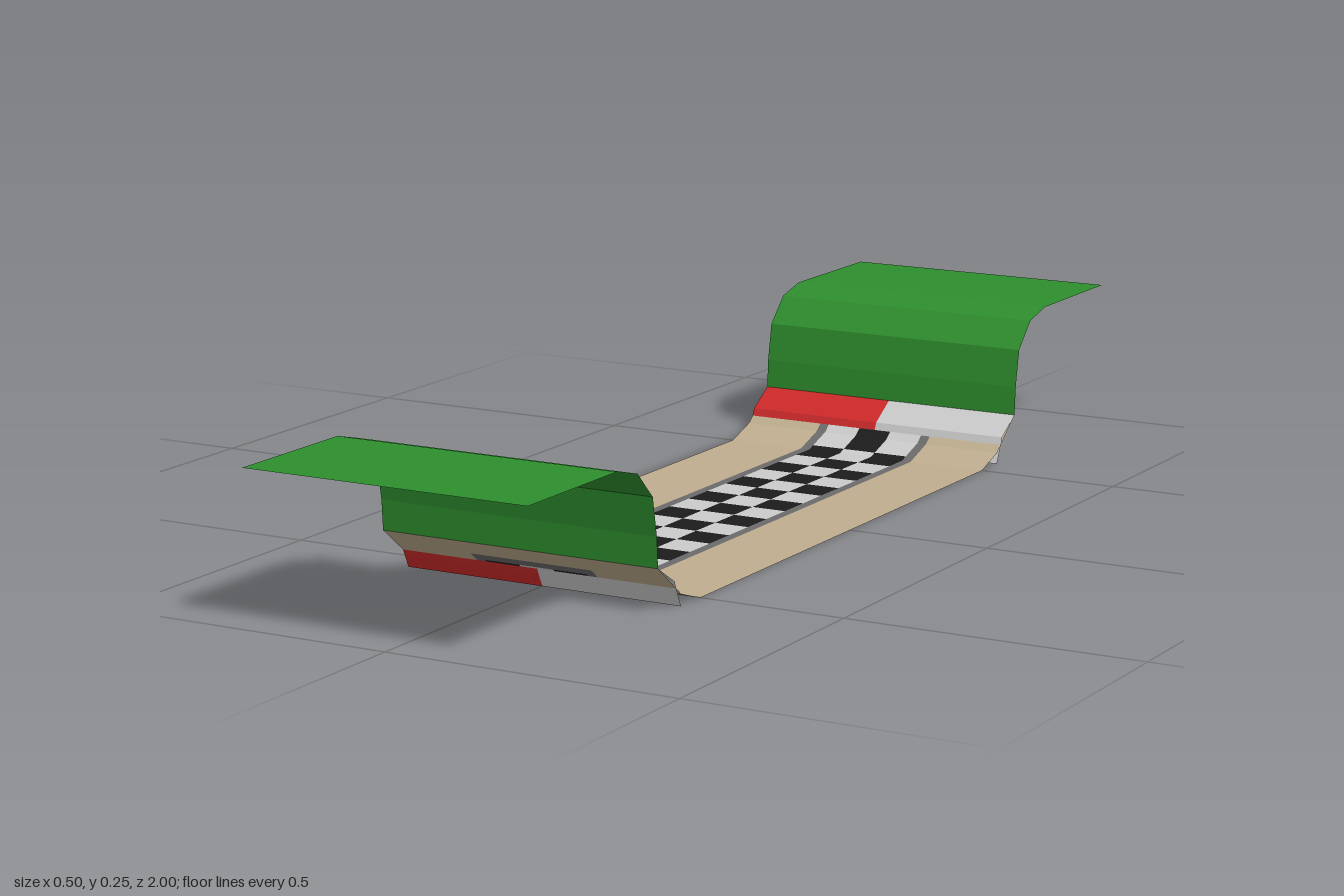
import * as THREE from 'three';
import { mergeGeometries } from 'three/addons/utils/BufferGeometryUtils.js';

const HALF = 0.25;      // half width of the whole piece
const BORDER = 0.11;    // outer edge of the lane border
const LANE = 0.093;     // outer edge of the chequered lane
const LANE_END = 0.579;
const BORDER_END = 0.594;

// Profiles as [z, y], running outwards from the middle of the track
const roadHalf = [[0.5, 0], [0.56, 0.02], [0.63, 0.075]];
const kerbProfile = [[0.56, 0], [0.57, 0.021], [0.58, 0.044], [0.63, 0.075]];
const bankProfile = [[0.63, 0.075], [0.633, 0.125], [0.645, 0.19], [0.69, 0.235], [0.75, 0.25], [1, 0.25]];

const mirrorZ = (profile) => profile.map(([z, y]) => [-z, y]).reverse();
const roadProfile = [...mirrorZ(roadHalf), ...roadHalf];

// Height of the road at z
function roadHeight(z) {
  for (let i = 1; i < roadProfile.length; i++) {
    const [z0, y0] = roadProfile[i - 1], [z1, y1] = roadProfile[i];
    if (z <= z1) return y0 + (y1 - y0) * (z - z0) / (z1 - z0);
  }
  return roadProfile.at(-1)[1];
}

// Part of the road profile between two z values
function roadSlice(z0, z1) {
  const inner = roadProfile.filter(([z]) => z > z0 + 1e-6 && z < z1 - 1e-6);
  return [[z0, roadHeight(z0)], ...inner, [z1, roadHeight(z1)]];
}

// Thin sheet: a profile (z ascending) swept across x, facing up
function sheet(profile, x0, x1) {
  const p = [];
  for (let i = 1; i < profile.length; i++) {
    const [zb, yb] = profile[i - 1], [za, ya] = profile[i];
    p.push(x0, ya, za, x1, ya, za, x1, yb, zb, x0, ya, za, x1, yb, zb, x0, yb, zb);
  }
  const g = new THREE.BufferGeometry();
  g.setAttribute('position', new THREE.Float32BufferAttribute(p, 3));
  g.computeVertexNormals();
  return g;
}

const paint = (color) => new THREE.MeshStandardMaterial({ color, flatShading: true, side: THREE.DoubleSide });

export function createModel() {
  const model = new THREE.Group();
  const materials = {
    sand: paint(0xbfad8f), border: paint(0x6b6b6b), grass: paint(0x2e8e2e),
    red: paint(0xd02a2a), white: paint(0xcccccc), black: paint(0x1c1c1c),
  };
  const add = (name, material, ...sheets) => {
    const mesh = new THREE.Mesh(mergeGeometries(sheets), materials[material]);
    mesh.name = name;
    model.add(mesh);
  };

  // Sandy road surface around the lane
  const long = roadSlice(-BORDER_END, BORDER_END);
  add('roadSurface', 'sand',
    sheet(long, -HALF, -BORDER), sheet(long, BORDER, HALF),
    sheet(roadSlice(-0.63, -BORDER_END), -HALF, HALF),
    sheet(roadSlice(BORDER_END, 0.63), -HALF, HALF));

  // Grey frame of the lane
  add('laneBorder', 'border',
    sheet(long, -BORDER, -LANE), sheet(long, LANE, BORDER),
    sheet(roadSlice(-BORDER_END, -LANE_END), -LANE, LANE),
    sheet(roadSlice(LANE_END, BORDER_END), -LANE, LANE));

  // Chequered lane, three squares wide
  const rows = 18, cols = 3;
  const squares = { white: [], black: [] };
  const dz = 2 * LANE_END / rows, dx = 2 * LANE / cols;
  for (let r = 0; r < rows; r++) {
    for (let c = 0; c < cols; c++) {
      const z = -LANE_END + r * dz, x = -LANE + c * dx;
      squares[(r + c) % 2 ? 'black' : 'white'].push(sheet(roadSlice(z, z + dz), x, x + dx));
    }
  }
  // The front row has black outer squares, the back row a black middle square
  add('laneLightSquares', 'white', ...squares.white);
  add('laneDarkSquares', 'black', ...squares.black);

  // Kerbs and grass banks at both ends
  for (const [end, shape] of [['front', (p) => p], ['back', mirrorZ]]) {
    const kerb = shape(kerbProfile);
    add(end + 'RedKerb', 'red', sheet(kerb, -HALF, 0));
    add(end + 'WhiteKerb', 'white', sheet(kerb, 0, HALF));
    add(end + 'GrassBank', 'grass', sheet(shape(bankProfile), -HALF, HALF));
  }
  return model;
}
